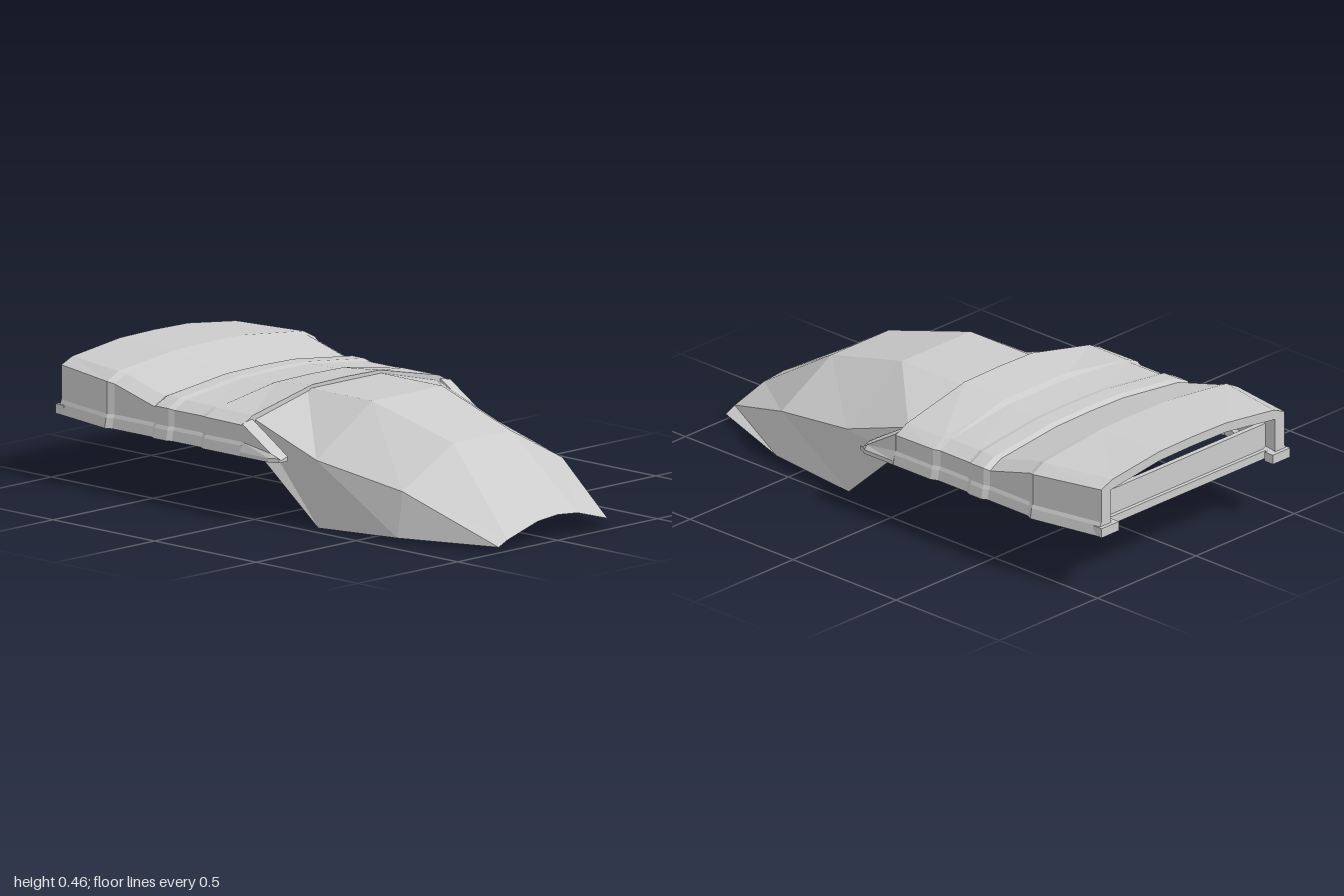
import * as THREE from 'three';

const material = new THREE.MeshStandardMaterial({
  color: 0xcccccc, flatShading: true, side: THREE.DoubleSide });

function addMesh(group, name, geometry) {
  const mesh = new THREE.Mesh(geometry, material);
  mesh.name = name;
  group.add(mesh);
  return mesh;
}

// Skin a list of [x, y, z] sections running from front to back
function loft(sections, closed) {
  const n = sections[0].length, index = [];
  const position = sections.flat(2);
  for (let i = 0; i < sections.length - 1; i++) {
    for (let j = 0; j < (closed ? n : n - 1); j++) {
      const k = (j + 1) % n;
      const a = i * n + j, b = i * n + k, c = b + n, d = a + n;
      index.push(a, b, c, a, c, d);
    }
  }
  if (closed) {
    const capFaces = (s) => THREE.ShapeUtils.triangulateShape(
      sections[s].map(([x, y]) => new THREE.Vector2(x, y)), []);
    const last = sections.length - 1;
    for (const [a, b, c] of capFaces(0)) index.push(a, c, b);
    for (const f of capFaces(last)) index.push(...f.map((v) => v + last * n));
  }
  const g = new THREE.BufferGeometry();
  g.setAttribute('position', new THREE.Float32BufferAttribute(position, 3));
  g.setIndex(index);
  const flat = g.toNonIndexed();
  flat.computeVertexNormals();
  return flat;
}

const mirrorPoints = (points) => points.map(([x, y, z]) => [-x, y, z]).reverse();

// Thick arch of the rear cover, with a flared lip along each foot
function coverSection([z, top, w, drop1, drop2, t]) {
  const half = [
    [0, top], [0.17, top - 0.003], [w - 0.055, top - drop1], [w, top - drop2],
    [w, 0.275], [w + 0.006, 0.262], [w + 0.013, 0.225],
    [w - 0.065, 0.225], [w - 0.065, 0.255], [w - 0.048, 0.262],
    [w - 0.048, top - drop2 - 0.015], [w - 0.075, top - drop1 - t],
    [0.17, top - 0.003 - t], [0, top - t],
  ].map(([x, y]) => [x, y, z]);
  return [...half, ...mirrorPoints(half.slice(1, -1))];
}

export function createModel() {
  const model = new THREE.Group();
  model.name = 'armourPlate';

  // Front shell: half sections from the centre line out to the lower edge
  const shellHalves = [
    [[0, 0.092, 1], [0.1, 0.083, 1], [0.25, 0.04, 1], [0.295, 0.02, 1]],
    [[0, 0.315, 0.63], [0.145, 0.315, 0.63], [0.4, 0.18, 0.63], [0.425, 0.017, 0.63]],
    [[0, 0.415, 0.26], [0.175, 0.415, 0.26], [0.455, 0.245, 0.26], [0.445, 0, 0.26]],
    [[0, 0.415, -0.06], [0.175, 0.415, -0.06], [0.455, 0.345, -0.04], [0.475, 0.228, 0]],
  ];
  addMesh(model, 'frontShell',
    loft(shellHalves.map((h) => [...mirrorPoints(h.slice(1)), ...h]), false));

  // Rear cover: z, top height, half width, two shoulder drops, roof thickness
  const stations = [
    [-0.04, 0.43, 0.52, 0.067, 0.095, 0.015],
    [-0.22, 0.412, 0.52, 0.05, 0.075, 0.02],
    [-0.245, 0.403, 0.508, 0.04, 0.068, 0.02],
    [-0.385, 0.4, 0.508, 0.037, 0.066, 0.02],
    [-0.405, 0.405, 0.518, 0.037, 0.066, 0.02],
    [-0.465, 0.405, 0.518, 0.037, 0.066, 0.02],
    [-0.485, 0.396, 0.507, 0.035, 0.064, 0.02],
    [-0.68, 0.448, 0.508, 0.035, 0.064, 0.025],
    [-0.705, 0.455, 0.52, 0.035, 0.064, 0.03],
    [-0.985, 0.455, 0.465, 0.032, 0.055, 0.035],
  ];
  addMesh(model, 'rearCover', loft(stations.map(coverSection), true));

  // Side arms sloping down in front of the cover, each with its lip and rear foot
  for (const [side, s] of [['left', 1], ['right', -1]]) {
    const armHalf = (z, top, inner, outer) => [
      [inner, top + 0.01, z], [outer - 0.012, top, z],
      [outer - 0.012, Math.min(0.275, top), z], [outer, 0.24, z],
      [outer, 0.225, z], [inner, 0.225, z]];
    const arm = [armHalf(0.135, 0.232, 0.472, 0.515),
      armHalf(0.1, 0.255, 0.472, 0.533),
      armHalf(-0.04, 0.34, 0.47, 0.533)];
    addMesh(model, side + 'Arm', loft(arm.map((p) =>
      s > 0 ? p : mirrorPoints(p)), true));

    const foot = addMesh(model, side + 'RearFoot', new THREE.BoxGeometry(0.088, 0.035, 0.04));
    foot.position.set(s * 0.435, 0.2425, -0.98);
  }

  // Recessed cross wall and bottom bar at the back opening
  addMesh(model, 'rearWall', new THREE.BoxGeometry(0.86, 0.125, 0.02))
    .position.set(0, 0.2875, -0.92);
  addMesh(model, 'rearBar', new THREE.BoxGeometry(0.86, 0.03, 0.09))
    .position.set(0, 0.24, -0.9);

  return model;
}
